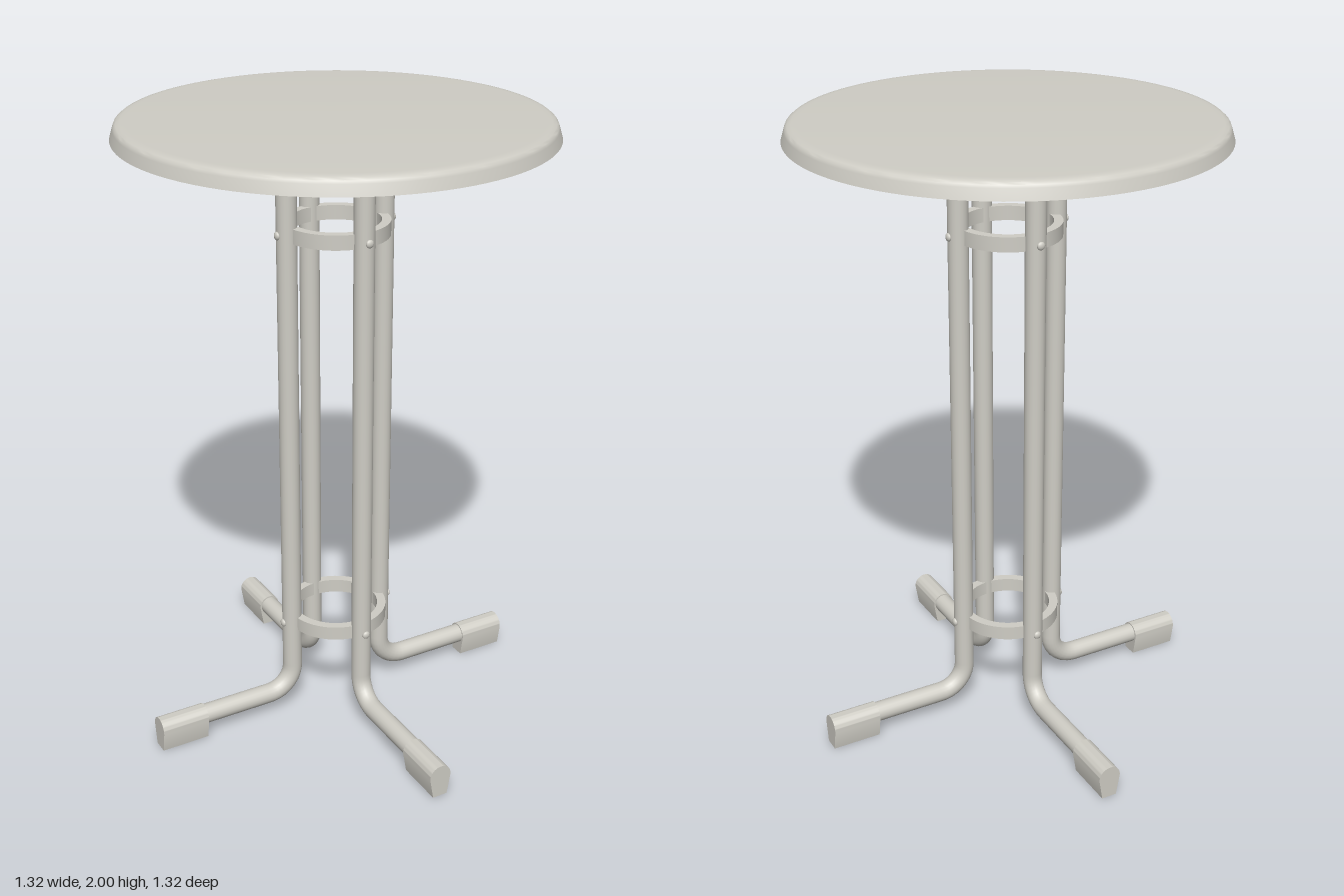
import * as THREE from 'three';
import { toCreasedNormals } from 'three/addons/utils/BufferGeometryUtils.js';

const V = (x, y) => new THREE.Vector3(x, y, 0);

// Bent tube: foot end -> upright -> top end
function legGeometry() {
  const r = 0.168, low = 0.074, high = 1.914, b = 0.09, k = b * 0.448;
  const path = new THREE.CurvePath();
  path.add(new THREE.LineCurve3(V(0.64, low), V(r + b, low)));
  path.add(new THREE.CubicBezierCurve3(V(r + b, low), V(r + k, low), V(r, low + k), V(r, low + b)));
  path.add(new THREE.LineCurve3(V(r, low + b), V(r, high - b)));
  path.add(new THREE.CubicBezierCurve3(V(r, high - b), V(r, high - k), V(r + k, high), V(r + b, high)));
  path.add(new THREE.LineCurve3(V(r + b, high), V(0.41, high)));
  return new THREE.TubeGeometry(path, 140, 0.032, 20, false);
}

// Cap with a round back tapering to a flat sole, running along +x
function capGeometry(radius, half, drop, length, flip) {
  const s = new THREE.Shape();
  s.moveTo(-half, -drop);
  s.lineTo(half, -drop);
  s.absarc(0, 0, radius, -0.15, Math.PI + 0.15, false);
  s.closePath();
  const g = new THREE.ExtrudeGeometry(s, { depth: length, bevelEnabled: false, curveSegments: 20 });
  if (flip) g.rotateZ(Math.PI);
  g.rotateY(Math.PI / 2);
  return toCreasedNormals(g, 0.6);
}

function latheGeometry(points, segments) {
  const g = new THREE.LatheGeometry(points.map(p => new THREE.Vector2(p[0], p[1])), segments);
  return toCreasedNormals(g, 0.6);
}

export function createModel() {
  const group = new THREE.Group();
  const grey = new THREE.MeshStandardMaterial({ color: 0xcfcdc5 });
  grey.name = 'warmGrey';

  const add = (parent, name, geometry, x = 0, y = 0) => {
    const mesh = new THREE.Mesh(geometry, grey);
    mesh.name = name;
    mesh.position.set(x, y, 0);
    parent.add(mesh);
    return mesh;
  };

  // Round top with a flared rim and a hollow underside
  add(group, 'tableTop', latheGeometry([
    [0, 1.978], [0.63, 1.978], [0.652, 1.95], [0.658, 1.95],
    [0.648, 1.982], [0.645, 1.99], [0.638, 1.996], [0.626, 1.999], [0.61, 2], [0, 2],
  ], 96));

  // Four legs, each with a foot, a top pad and two screws
  const tube = legGeometry();
  const foot = capGeometry(0.037, 0.025, 0.073, 0.16, false);
  const pad = capGeometry(0.034, 0.025, 0.064, 0.14, true);
  const screw = new THREE.SphereGeometry(0.013, 14, 10);
  screw.scale(0.6, 1, 1);
  for (let i = 0; i < 4; i++) {
    const leg = new THREE.Group();
    leg.name = 'leg' + (i + 1);
    leg.rotation.y = i * Math.PI / 2;
    add(leg, 'legTube', tube);
    add(leg, 'foot', foot, 0.498, 0.073);
    add(leg, 'topPad', pad, 0.285, 1.914);
    for (const y of [0.333, 1.667]) add(leg, 'screw', screw, 0.2, y);
    group.add(leg);
  }

  // Flat rings holding the legs together
  const ring = latheGeometry([
    [0.138, -0.023], [0.166, -0.023], [0.166, 0.023], [0.138, 0.023], [0.138, -0.023],
  ], 64);
  add(group, 'lowerRing', ring, 0, 0.333);
  add(group, 'upperRing', ring, 0, 1.667);

  return group;
}
